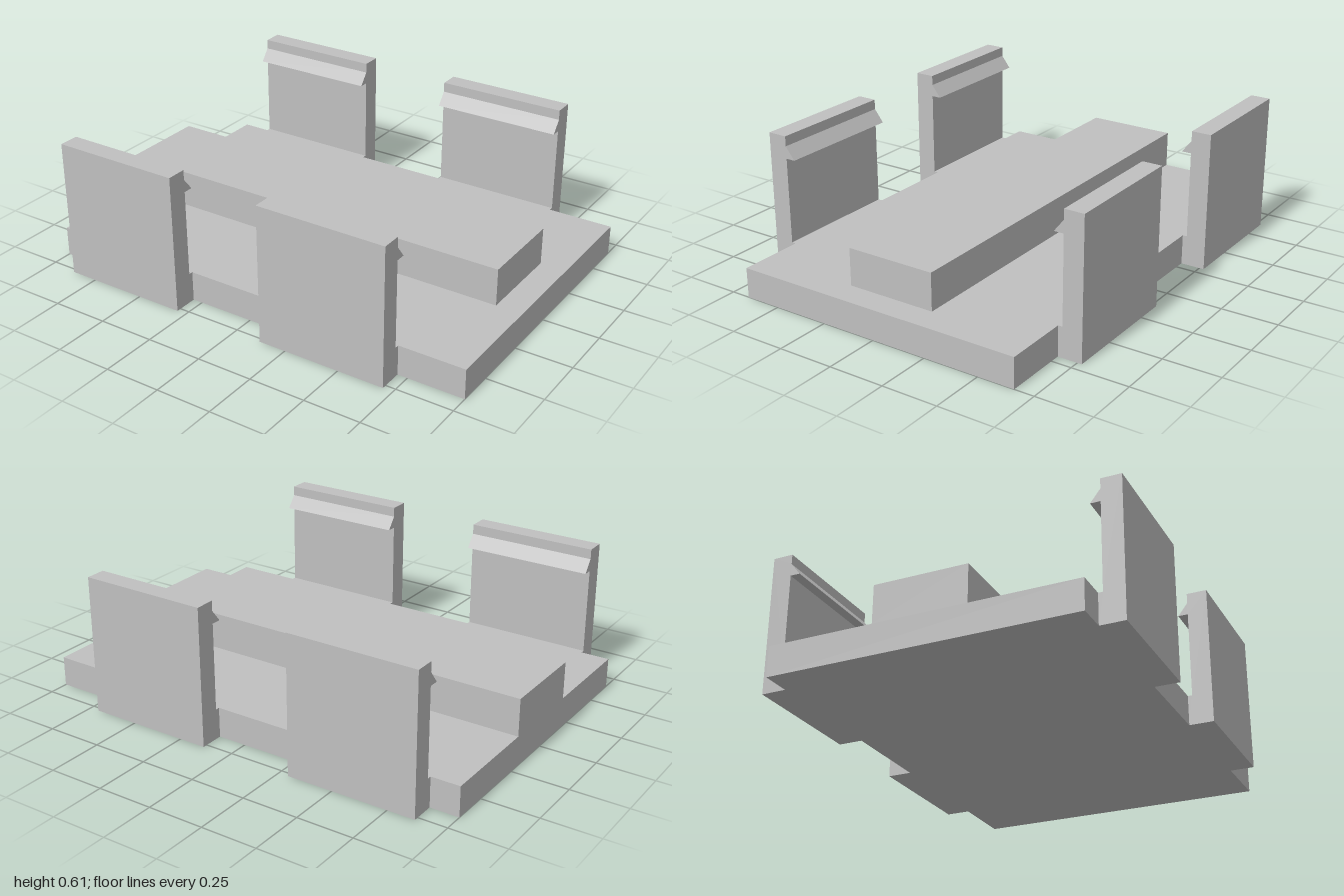
import * as THREE from 'three';

const BASE_H = 0.133;
const BASE_Z = 0.663; // half depth of the base plate
const CLIP_W = 0.578;

// Hooked clip profile (z, y), extruded along x and centred on x = 0
function clipGeometry() {
  const profile = [
    [BASE_Z, 0], [0.77, 0], [0.77, 0.614], [0.682, 0.614], [0.682, 0.57],
    [0.639, 0.515], [0.682, 0.515], [0.682, BASE_H], [BASE_Z, BASE_H],
  ];
  const shape = new THREE.Shape(profile.map(([z, y]) => new THREE.Vector2(z, y)));
  const geometry = new THREE.ExtrudeGeometry(shape, { depth: CLIP_W, bevelEnabled: false });
  geometry.translate(0, 0, -CLIP_W / 2);
  geometry.rotateY(-Math.PI / 2);
  return geometry;
}

export function createModel() {
  const model = new THREE.Group();
  model.name = 'clipMount';
  const grey = new THREE.MeshStandardMaterial({ color: 0xc0c0c0 });
  grey.name = 'light grey';

  const add = (name, geometry, x, y, z) => {
    const mesh = new THREE.Mesh(geometry, grey);
    mesh.name = name;
    mesh.position.set(x, y, z);
    model.add(mesh);
    return mesh;
  };

  // Base plate
  add('basePlate', new THREE.BoxGeometry(2, BASE_H, BASE_Z * 2), 0, BASE_H / 2, 0);

  // Raised rail, flush with the right end and stopping short of the left end
  const railTop = 0.298, railEnd = 0.883;
  add('centreRail', new THREE.BoxGeometry(1 + railEnd, railTop - BASE_H, 0.404),
    (railEnd - 1) / 2, (railTop + BASE_H) / 2, 0);

  // Two pairs of snap clips, hooks facing inward
  const clip = clipGeometry();
  for (const [side, x] of [['Right', -0.583], ['Left', 0.417]]) {
    add('frontClip' + side, clip, x, 0, 0);
    add('backClip' + side, clip, x, 0, 0).rotation.y = Math.PI;
  }
  return model;
}
